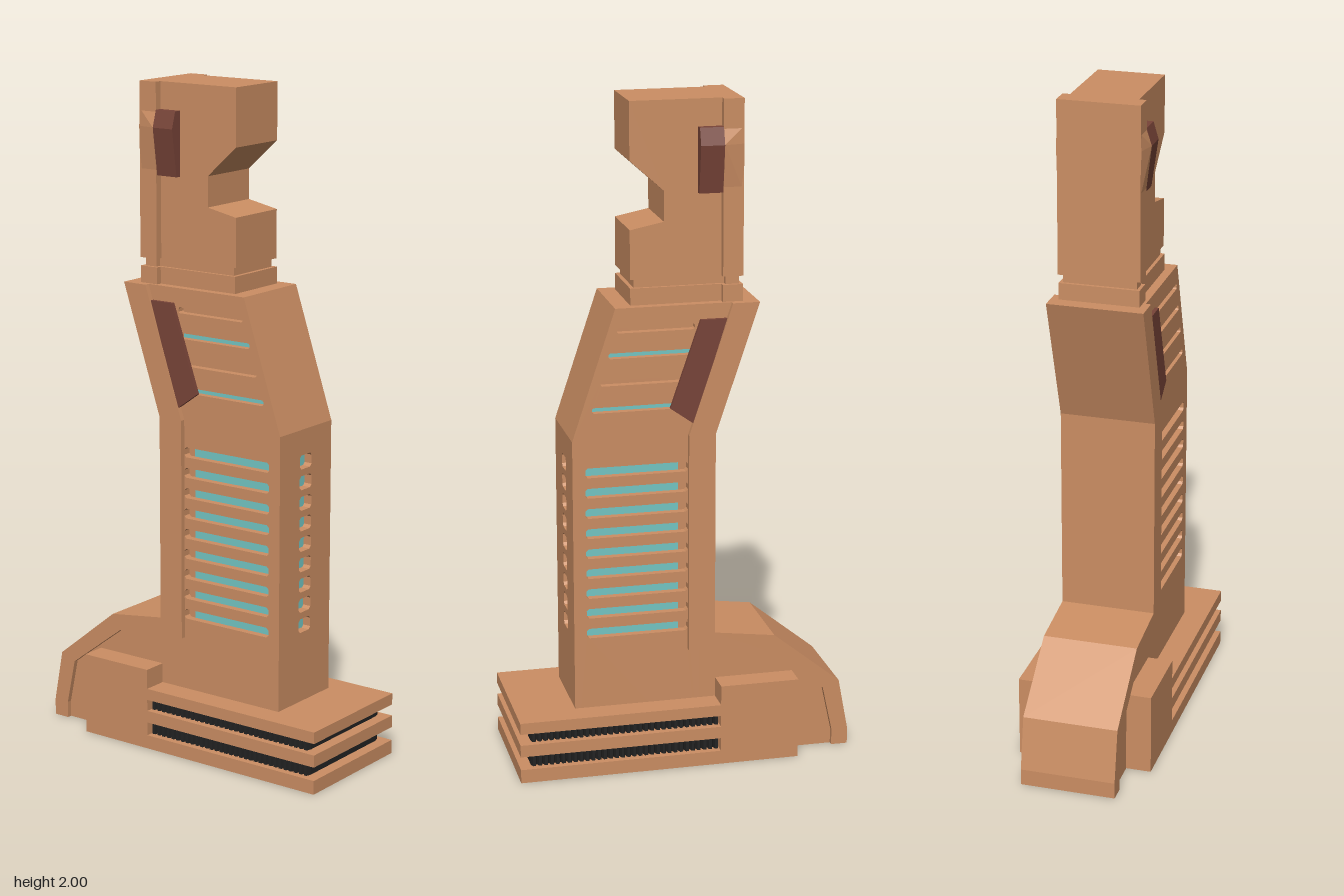
import * as THREE from 'three';
import { ConvexGeometry } from 'three/addons/geometries/ConvexGeometry.js';

const mat = (name, color) => Object.assign(new THREE.MeshStandardMaterial({ color }), { name });

export function createModel() {
  const model = new THREE.Group();
  model.name = 'tower';
  const tan = mat('tan', 0xcb8e63);
  const brown = mat('darkBrown', 0x784438);
  const teal = mat('teal', 0x74c6c4);
  const black = mat('black', 0x232323);

  const add = (name, geometry, material) => {
    const mesh = new THREE.Mesh(geometry, material);
    mesh.name = name;
    model.add(mesh);
    return mesh;
  };
  // Box given by its limits
  const box = (name, m, x0, x1, y0, y1, z0, z1) =>
    add(name, new THREE.BoxGeometry(x1 - x0, y1 - y0, z1 - z0), m)
      .position.set((x0 + x1) / 2, (y0 + y1) / 2, (z0 + z1) / 2);
  const pts = (list) => list.map(([x, y]) => new THREE.Vector2(x, y));
  // Profile in xy, extruded from z0 to z1
  const slabGeometry = (list, z0, z1, holes = []) => {
    const shape = new THREE.Shape(pts(list));
    for (const h of holes) shape.holes.push(new THREE.Path(pts(h)));
    return new THREE.ExtrudeGeometry(shape, { depth: z1 - z0, bevelEnabled: false }).translate(0, 0, z0);
  };
  const slab = (name, m, list, z0, z1, holes) => add(name, slabGeometry(list, z0, z1, holes), m);
  // Slot outline with clipped corners
  const slot = (x0, x1, y, h, c = 0.007) => {
    const a = y - h / 2, b = y + h / 2;
    return [[x0 + c, a], [x1 - c, a], [x1, a + c], [x1, b - c], [x1 - c, b], [x0 + c, b], [x0, b - c], [x0, a + c]];
  };

  // Spine running from the toe up the back of the column
  slab('spine', tan, [
    [-0.515, 0], [-0.465, 0], [-0.465, 0.05], [-0.435, 0.19], [-0.25, 0.33], [-0.015, 0.35],
    [-0.015, 1.02], [-0.145, 1.41], [-0.225, 1.41], [-0.095, 1.02], [-0.095, 0.4],
    [-0.28, 0.375], [-0.485, 0.21], [-0.515, 0.05],
  ], -0.144, 0.144);
  slab('foot', tan, [
    [-0.465, 0], [-0.05, 0], [-0.05, 0.347], [-0.25, 0.33], [-0.435, 0.19], [-0.465, 0.05],
  ], -0.129, 0.129);

  // Column core, with slotted plates on front and back
  const rows = Array.from({ length: 9 }, (_, i) => 0.425 + i * 0.0622);
  const upper = [[1.11, 0.27, true], [1.19, 0.245, false], [1.27, 0.22, true], [1.345, 0.195, false]];
  const holes = rows.map((y) => slot(-0.015, 0.292, y, 0.03));
  for (const [y, x1] of upper) holes.push(slot(-0.035, x1, y, 0.017, 0.004));
  slab('columnCore', tan, [
    [-0.05, 0], [0.3, 0], [0.3, 1.02], [0.33, 1.02], [0.2, 1.41], [-0.18, 1.41], [-0.05, 1.02],
  ], -0.105, 0.105);
  const plate = [[-0.05, 0], [0.33, 0], [0.33, 1.02], [0.2, 1.41], [-0.18, 1.41], [-0.05, 1.02]];
  const panel = [[-0.03, 1.055], [0.04, 1.105], [-0.05, 1.365], [-0.128, 1.365]];
  for (const s of [1, -1]) {
    const span = (a, b) => (s > 0 ? [a, b] : [-b, -a]);
    slab('slottedPlate', tan, plate, ...span(0.105, 0.129), holes);
    slab('shoulderPanel', brown, panel, ...span(0.129, 0.141));
    for (const y of rows) box('slotLight', teal, 0.01, 0.29, y - 0.014, y + 0.014, ...span(0.104, 0.109));
    for (const [y, x1, lit] of upper) {
      if (lit) box('slotLight', teal, -0.03, x1 - 0.003, y - 0.008, y + 0.008, ...span(0.104, 0.109));
    }
  }

  // Side wall with a column of small windows
  const wall = slabGeometry([[-0.105, 0], [0.105, 0], [0.105, 1.02], [-0.105, 1.02]], 0, 0.03,
    rows.map((y) => slot(-0.03, 0.03, y, 0.042, 0.008)));
  add('windowWall', wall.rotateY(Math.PI / 2).translate(0.3, 0, 0), tan).position.z = -0.0;
  for (const y of rows) box('windowLight', teal, 0.299, 0.305, y - 0.02, y + 0.02, -0.029, 0.029);

  // Base block and stacked plates with toothed black layers between
  box('baseBlock', tan, -0.34, -0.1, 0, 0.25, -0.205, 0.205);
  for (const [y0, y1] of [[0, 0.042], [0.083, 0.12], [0.155, 0.19]]) {
    box('basePlate', tan, -0.1, 0.51, y0, y1, -0.205, 0.205);
  }
  const teeth = 32, x0 = -0.1, x1 = 0.475, edge = [];
  for (let i = 0; i < teeth; i++) {
    const w = (x1 - x0) / teeth, x = x0 + i * w;
    edge.push([x, 0.17], [x + w * 0.25, 0.185], [x + w * 0.75, 0.185]);
  }
  edge.push([x1, 0.17]);
  const outline = [...edge.map(([x, z]) => [x, -z]), ...edge.slice().reverse()];
  for (const [y0, y1] of [[0.042, 0.083], [0.12, 0.155]]) {
    add('toothedLayer', slabGeometry(outline, 0, y1 - y0).rotateX(-Math.PI / 2).translate(0, y0, 0), black);
  }

  // Neck: collar and narrow groove
  box('collar', tan, -0.12, 0.15, 1.41, 1.46, -0.103, 0.103);
  box('collarSpine', tan, -0.18, -0.12, 1.41, 1.46, -0.12, 0.12);
  box('neckGroove', tan, -0.13, 0.138, 1.46, 1.485, -0.093, 0.093);
  box('neckGrooveSpine', tan, -0.17, -0.13, 1.46, 1.485, -0.11, 0.11);

  // Notched head and its rear strip
  slab('head', tan, [
    [-0.12, 1.485], [0.15, 1.485], [0.15, 1.63], [0.05, 1.65], [0.05, 1.74],
    [0.15, 1.83], [0.15, 2], [-0.12, 2],
  ], -0.1, 0.1);
  box('headSpine', tan, -0.18, -0.12, 1.485, 2, -0.122, 0.122);

  // Side clips with a sloped bulge leading into each
  for (const s of [1, -1]) {
    const hull = (list) => new ConvexGeometry(list.map(([x, y, z]) => new THREE.Vector3(x, y, z * s)));
    const clip = [];
    for (const x of [-0.12, -0.05]) {
      clip.push([x, 1.73, 0.095], [x, 1.92, 0.095], [x, 1.92, 0.122], [x, 1.87, 0.137], [x, 1.73, 0.117]);
    }
    add('headClip', hull(clip), brown);
    add('clipBulge', hull([
      [-0.18, 1.73, 0.12], [-0.18, 1.92, 0.12], [-0.12, 1.73, 0.12], [-0.12, 1.92, 0.12],
      [-0.18, 1.87, 0.124], [-0.12, 1.87, 0.137],
    ]), tan);
  }
  return model;
}
